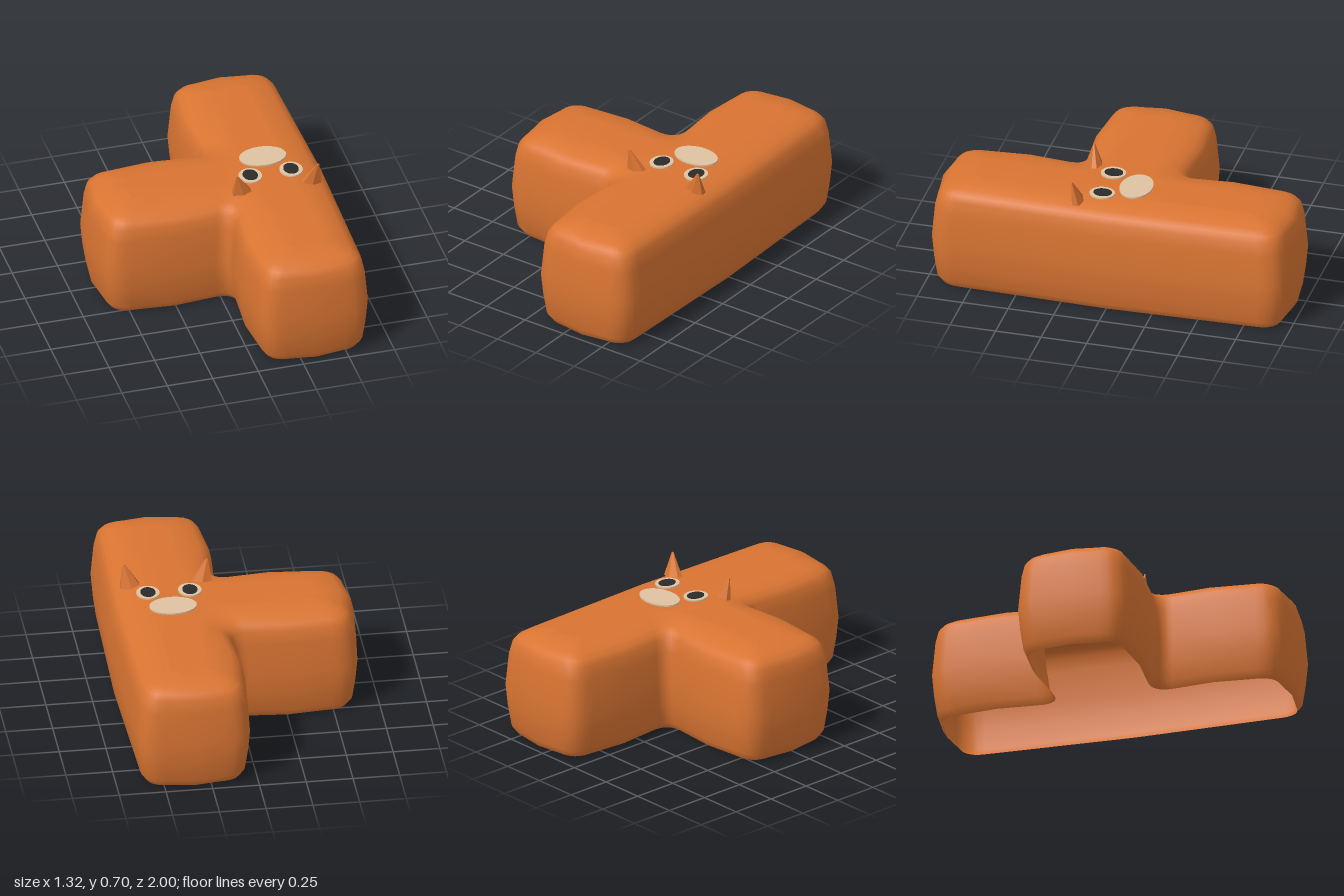
import * as THREE from 'three';

// T-shaped plan corners, counterclockwise from above: x, z, concave?
const CORNERS = [
  [0.64, 0.98], [0.64, -0.98], [0.03, -0.98], [0.03, -0.31, true],
  [-0.64, -0.31], [-0.64, 0.31], [0.03, 0.31, true], [0.03, 0.98],
];
const ARC = 6, BULGE = 0.02;

// Rounded T outline shrunk by an inset, with edges that swell at their middles
function outline(inset) {
  const c = CORNERS.map(([x, z]) =>
    new THREE.Vector2(x + (x > 0.5 ? -inset : inset), z - Math.sign(z) * inset));
  const pts = [];
  c.forEach((p, i) => {
    const next = c[(i + 1) % 8];
    const into = p.clone().sub(c[(i + 7) % 8]).normalize();
    const out = next.clone().sub(p).normalize();
    const r = CORNERS[i][2] ? 0.07 + inset * 0.5 : Math.max(0.06, 0.14 - inset * 0.5);
    const bend = new THREE.QuadraticBezierCurve(
      p.clone().addScaledVector(into, -r), p, p.clone().addScaledVector(out, r));
    pts.push(...bend.getPoints(ARC));
    pts.push(p.clone().add(next).multiplyScalar(0.5)
      .add(new THREE.Vector2(-out.y, out.x).multiplyScalar(BULGE)));
  });
  return pts;
}

// Open-bottomed shell lofted through stacked outlines and capped on top
function bodyGeometry() {
  const levels = [ // height, inset
    [0, 0.05], [0.04, 0.025], [0.15, 0.01], [0.27, 0], [0.45, 0.015],
    [0.52, 0.03], [0.55, 0.052], [0.572, 0.085], [0.587, 0.14], [0.598, 0.2],
  ];
  const pos = [], idx = [];
  let ring;
  levels.forEach(([y, inset]) => {
    ring = outline(inset);
    ring.forEach(p => pos.push(p.x, y, p.y));
  });
  const n = ring.length;
  for (let k = 0; k < levels.length - 1; k++) {
    for (let j = 0; j < n; j++) {
      const a = k * n + j, b = k * n + (j + 1) % n;
      idx.push(a, b, a + n, b, b + n, a + n);
    }
  }
  const top = (levels.length - 1) * n;
  const flat = ring.map(p => new THREE.Vector2(p.x, -p.y));
  THREE.ShapeUtils.triangulateShape(flat, []).forEach(f => idx.push(...f.map(i => i + top)));
  const g = new THREE.BufferGeometry();
  g.setAttribute('position', new THREE.Float32BufferAttribute(pos, 3));
  g.setIndex(idx);
  g.computeVertexNormals();
  return g;
}

// Faceted pointed ear leaning outwards
function earGeometry(side) {
  const h = 0.125;
  const g = new THREE.CylinderGeometry(0.1, 1, h, 6).toNonIndexed();
  g.translate(0, h / 2, 0);
  const p = g.attributes.position;
  for (let i = 0; i < p.count; i++) {
    const t = p.getY(i) / h;
    p.setX(i, p.getX(i) * 0.065 + side * 0.034 * t);
    p.setZ(i, p.getZ(i) * 0.034 + 0.024 * t);
  }
  // the hexagon's long axis lies along z, so widths are set separately above
  g.computeVertexNormals();
  return g;
}

export function createModel() {
  const model = new THREE.Group();
  const orange = new THREE.MeshStandardMaterial({ color: 0xd97432, side: THREE.DoubleSide });
  orange.name = 'orange';
  const cream = new THREE.MeshStandardMaterial({ color: 0xdec2a2 });
  cream.name = 'cream';
  const black = new THREE.MeshStandardMaterial({ color: 0x2a2a28 });
  black.name = 'black';

  const add = (name, geometry, material, x = 0, y = 0, z = 0) => {
    const mesh = new THREE.Mesh(geometry, material);
    mesh.name = name;
    mesh.position.set(x, y, z);
    model.add(mesh);
  };
  // Thin oval plate lying on the top
  const oval = (rx, rz, h) => new THREE.CylinderGeometry(1, 1, h, 28).scale(rx, 1, rz);

  add('body', bodyGeometry(), orange);

  // Face on the top surface
  const faceX = 0.333;
  add('muzzle', oval(0.127, 0.088, 0.009), cream, faceX, 0.6035, -0.09);
  for (const side of [-1, 1]) {
    const label = side > 0 ? 'left' : 'right';
    const eyeX = faceX + side * 0.112;
    add(label + 'Eye', oval(0.062, 0.068, 0.008), cream, eyeX, 0.602, 0.067);
    add(label + 'Pupil', oval(0.04, 0.05, 0.004), black, eyeX, 0.607, 0.065);
    add(label + 'Ear', earGeometry(side), orange, faceX + side * 0.188, 0.58, 0.18);
  }
  return model;
}
